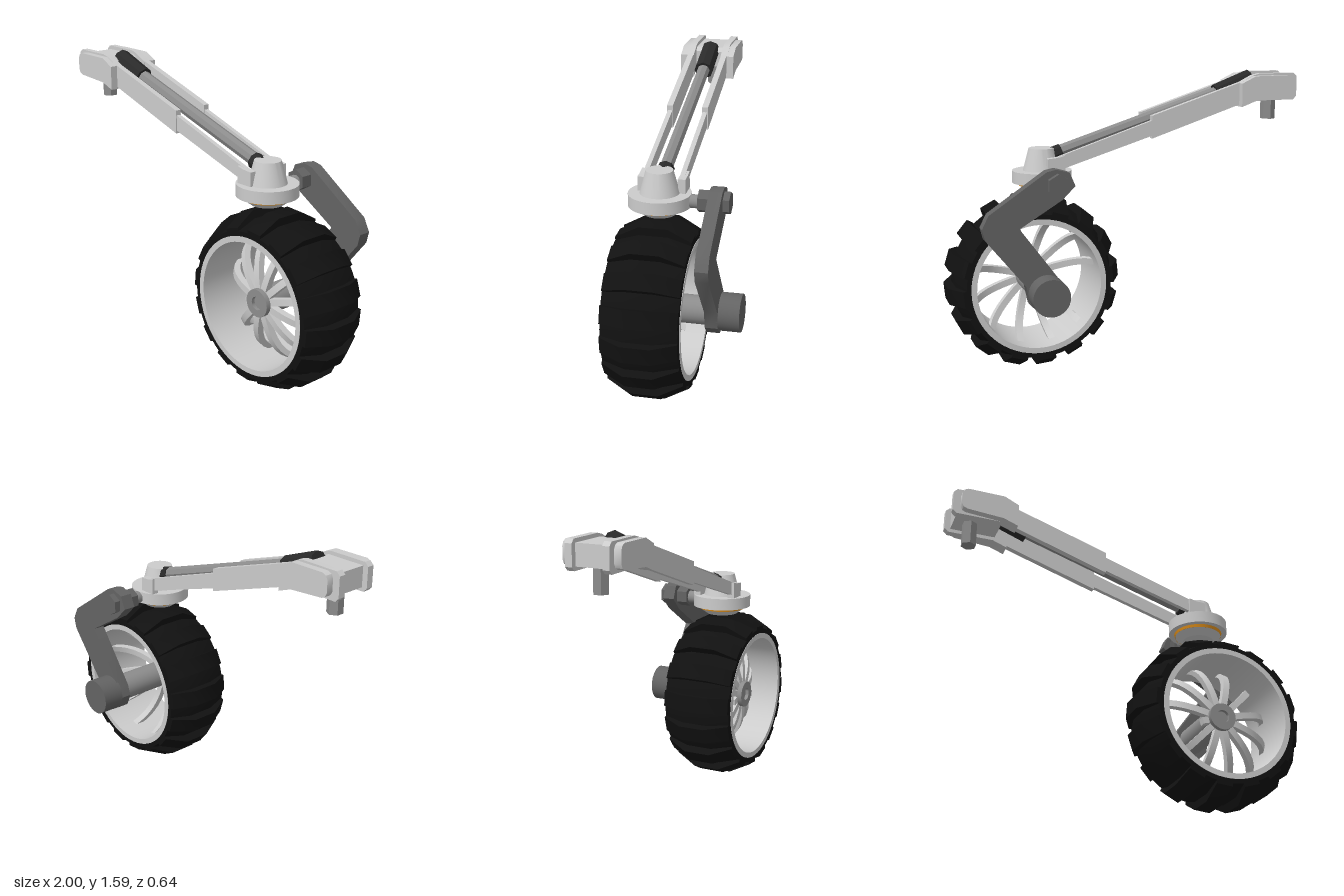
import * as THREE from 'three';
import { toCreasedNormals } from 'three/addons/utils/BufferGeometryUtils.js';

const mat = (color) => new THREE.MeshStandardMaterial({ color });
const GREY = mat(0xcccccc), STEEL = mat(0x8c8c8c), DARK = mat(0x636363);
const BLACK = mat(0x2a2a2a), RUBBER = mat(0x111111), ORANGE = mat(0xe8951c);
const MID = 0.115; // z of the arm's centre plane

export function createModel() {
  const model = new THREE.Group();

  const add = (name, geo, material, parent = model) => {
    const mesh = new THREE.Mesh(toCreasedNormals(geo, 0.55), material);
    mesh.name = name;
    parent.add(mesh);
    return mesh;
  };
  const outline = (pts) => new THREE.Shape(pts.map(([x, y]) => new THREE.Vector2(x, y)));
  // flat plate drawn in the xy plane, spanning z0 to z1
  const plate = (name, pts, z0, z1, material = GREY) =>
    add(name, new THREE.ExtrudeGeometry(outline(pts), { depth: z1 - z0, bevelEnabled: false }).translate(0, 0, z0), material);
  const lathe = (pts, seg = 48) =>
    new THREE.LatheGeometry(pts.map(([r, y]) => new THREE.Vector2(r, y)), seg);
  // cylinder between two points
  const rod = (name, a, b, r, seg, material) => {
    const p = new THREE.Vector3(...a), q = new THREE.Vector3(...b);
    const mesh = add(name, new THREE.CylinderGeometry(r, r, p.distanceTo(q), seg), material);
    mesh.position.copy(p).lerp(q, 0.5);
    mesh.quaternion.setFromUnitVectors(new THREE.Vector3(0, 1, 0), q.sub(p).normalize());
    return mesh;
  };

  // ---- wheel, axis along z ----
  const wheel = new THREE.Group();
  wheel.name = 'wheel';
  wheel.position.set(0.525, 0.477, 0.122);
  model.add(wheel);
  const H = 0.197;
  add('tyre', lathe([[0.365, -H], [0.395, -H], [0.433, -0.075], [0.433, 0.075], [0.395, H], [0.365, H], [0.365, -H]], 64)
    .rotateX(Math.PI / 2), RUBBER, wheel);
  add('rim', lathe([[0.34, -H - 0.002], [0.37, -H - 0.002], [0.37, H + 0.002], [0.34, H + 0.002], [0.34, -H - 0.002]], 64)
    .rotateX(Math.PI / 2), GREY, wheel);

  // profile in (radius, z), given a width around the wheel
  const radial = (shape, width) => new THREE.ExtrudeGeometry(shape, { depth: width, bevelEnabled: false, curveSegments: 8 })
    .translate(0, 0, -width / 2).rotateX(Math.PI / 2);
  const lugGeo = radial(outline([[0.385, -H], [0.41, -H], [0.474, -0.075], [0.474, 0.075], [0.41, H], [0.385, H]]), 0.09);
  for (let i = 0; i < 16; i++) {
    add('treadLug', lugGeo, RUBBER, wheel).rotation.z = THREE.MathUtils.degToRad(84.5 + i * 22.5);
  }

  // spokes sweep back from the hub to the rim
  const bow = new THREE.Shape();
  bow.moveTo(0.04, 0.07);
  bow.quadraticCurveTo(0.3, 0.08, 0.35, -0.12);
  bow.lineTo(0.35, -0.06);
  bow.quadraticCurveTo(0.3, 0.11, 0.04, 0.11);
  bow.closePath();
  const spokeGeo = radial(bow, 0.036);
  const stubGeo = radial(outline([[0.04, 0.07], [0.11, 0.07], [0.11, 0.11], [0.04, 0.11]]), 0.036);
  for (let i = 0; i < 12; i++) {
    const geo = i === 6 ? stubGeo : spokeGeo;
    add('spoke', geo, GREY, wheel).rotation.z = THREE.MathUtils.degToRad(15 + i * 30);
  }
  add('hub', lathe([[0, -0.27], [0.075, -0.27], [0.075, 0.135], [0.036, 0.135], [0.036, 0.115], [0, 0.115]], 24)
    .rotateX(Math.PI / 2), STEEL, wheel);

  // ---- bent bracket behind the wheel, with motor and pivot ----
  plate('bracket', [
    [0.36, 1.04], [0.43, 0.97], [0.66, 0.83], [0.44, 0.53], [0.42, 0.47], [0.45, 0.4], [0.5, 0.37], [0.56, 0.37],
    [0.61, 0.42], [0.63, 0.52], [0.84, 0.78], [0.855, 0.84], [0.82, 0.91], [0.51, 1.12], [0.46, 1.13], [0.39, 1.11],
  ], -0.21, -0.142, DARK);
  rod('motor', [0.52, 0.477, -0.32], [0.52, 0.477, -0.2], 0.1, 32, DARK);
  rod('pivotBolt', [0.455, 1.05, -0.243], [0.455, 1.05, -0.08], 0.06, 6, DARK);
  rod('pivotArm', [0.455, 1.045, -0.1], [0.455, 1.045, 0], 0.035, 16, STEEL);

  // ---- swivel on top of the wheel ----
  const swivel = new THREE.Group();
  swivel.name = 'swivel';
  swivel.position.set(0.457, 0, 0.123);
  model.add(swivel);
  add('collar', lathe([[0, 1.015], [0.162, 1.015], [0.162, 1.08], [0, 1.08]]), GREY, swivel);
  add('trimRing', lathe([[0, 1.0], [0.128, 1.0], [0.133, 1.016], [0, 1.016]]), ORANGE, swivel);
  add('lowerCone', lathe([[0, 0.97], [0.085, 0.97], [0.128, 1.001], [0, 1.001]]), GREY, swivel);
  add('upperCone', lathe([[0, 1.07], [0.105, 1.07], [0.07, 1.2], [0, 1.2]]), GREY, swivel);

  // ---- arm: mirrored side rails, cheeks and bosses ----
  for (const s of [-1, 1]) {
    const sidePlate = (name, pts, inner, outer) => {
      const a = MID + s * inner, b = MID + s * outer;
      plate(name, pts, Math.min(a, b), Math.max(a, b));
    };
    sidePlate('upperRail', [[-0.74, 1.44], [-0.135, 1.24], [-0.135, 1.365], [-0.66, 1.535], [-0.74, 1.57]], 0.082, 0.115);
    sidePlate('lowerRail', [[-0.2, 1.275], [0.36, 1.1], [0.455, 1.08], [0.455, 1.155], [0.4, 1.16], [-0.2, 1.36]], 0.085, 0.11);
    sidePlate('railFoot', [[0.36, 1.08], [0.455, 1.08], [0.455, 1.155], [0.4, 1.16], [0.36, 1.17]], 0.085, 0.125);
    sidePlate('cheek', [
      [-1, 1.45], [-0.98, 1.43], [-0.73, 1.43], [-0.65, 1.4], [-0.65, 1.53], [-0.73, 1.57], [-0.77, 1.58], [-0.98, 1.58], [-1, 1.56],
    ], 0.08, 0.118);
    sidePlate('boss', [
      [-0.96, 1.475], [-0.95, 1.455], [-0.93, 1.445], [-0.73, 1.43], [-0.65, 1.4], [-0.65, 1.53], [-0.73, 1.568],
      [-0.93, 1.57], [-0.95, 1.56], [-0.96, 1.54],
    ], 0.116, 0.156);
  }
  plate('mountBlock', [[-0.97, 1.45], [-0.72, 1.45], [-0.72, 1.54], [-0.75, 1.56], [-0.97, 1.56]], MID - 0.085, MID + 0.085);
  rod('mountPin', [-0.88, 1.315, MID], [-0.88, 1.46, MID], 0.042, 6, STEEL);

  // ---- spring strut between the rails ----
  rod('strut', [-0.7, 1.515, MID], [0.41, 1.16, MID], 0.036, 8, STEEL);
  rod('strutSleeve', [-0.765, 1.545, MID], [-0.555, 1.465, MID], 0.054, 8, BLACK);
  rod('strutEnd', [0.35, 1.175, MID], [0.41, 1.155, MID], 0.045, 8, BLACK);

  return model;
}
